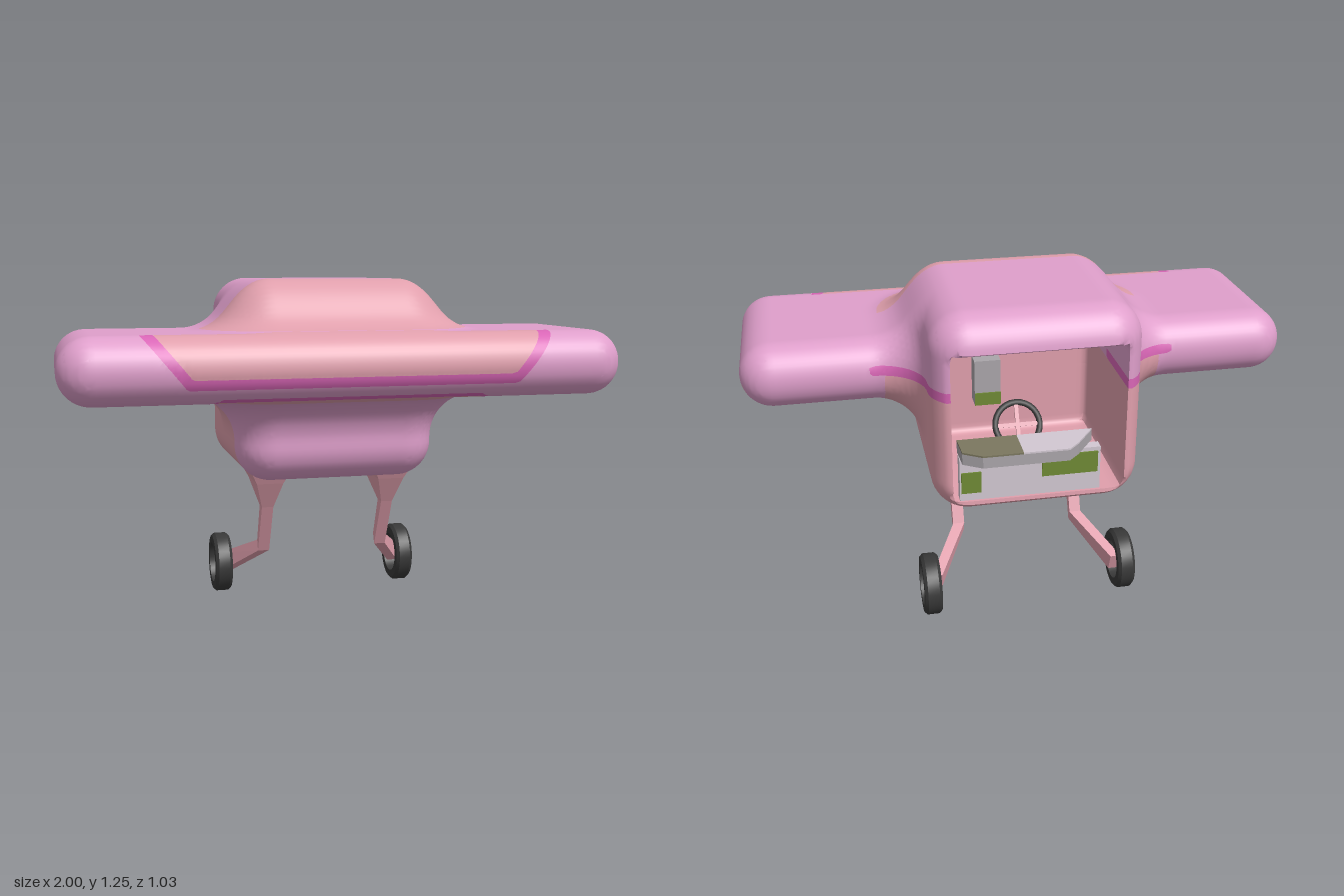
import * as THREE from 'three';
import { toCreasedNormals } from 'three/addons/utils/BufferGeometryUtils.js';

const paint = (name, color, side = THREE.FrontSide) => {
  const m = new THREE.MeshStandardMaterial({ color, side });
  m.name = name;
  return m;
};

// Signed distance to a rounded box given by its two corners
const roundBox = (p, lo, hi, r) => {
  let out = 0, inside = -Infinity;
  for (let i = 0; i < 3; i++) {
    const q = Math.abs(p[i] - (lo[i] + hi[i]) / 2) - (hi[i] - lo[i]) / 2 + r;
    out += Math.max(q, 0) ** 2;
    inside = Math.max(inside, q);
  }
  return Math.sqrt(out) + Math.min(inside, 0) - r;
};

// Cabin and wing joined by a round fillet, hollowed from the rear
const hull = (p) => {
  const a = roundBox(p, [-0.37, 0.522, -0.475], [0.37, 1.256, 0.27], 0.13);
  const b = roundBox(p, [-1, 0.84, -0.175], [1, 1.074, 0.515], 0.115);
  const r = 0.17;
  const joined = Math.max(r, Math.min(a, b)) - Math.hypot(Math.max(r - a, 0), Math.max(r - b, 0));
  return Math.max(joined, -roundBox(p, [-0.305, 0.575, -0.7], [0.305, 1.13, 0.1], 0.02));
};

// Triangles of the zero surface of a distance function, one vertex per grid cell
function surface(f, lo, hi, h) {
  const n = lo.map((v, i) => Math.ceil((hi[i] - v) / h) + 1);
  const step = [1, n[0], n[0] * n[1]];
  const val = new Float32Array(n[0] * n[1] * n[2]);
  const at = (i, j, k) => [lo[0] + i * h, lo[1] + j * h, lo[2] + k * h];
  const each = (fn) => {
    for (let k = 0; k < n[2]; k++) for (let j = 0; j < n[1]; j++) for (let i = 0; i < n[0]; i++)
      fn(i, j, k, i + j * step[1] + k * step[2]);
  };
  each((i, j, k, id) => { val[id] = f(at(i, j, k)); });
  const cells = new Map();
  each((i, j, k, id) => {
    if (i === n[0] - 1 || j === n[1] - 1 || k === n[2] - 1) return;
    const sum = [0, 0, 0];
    let count = 0;
    for (let c = 0; c < 8; c++) for (let a = 0; a < 3; a++) {
      if (c & (1 << a)) continue;
      const o = [c & 1, (c >> 1) & 1, (c >> 2) & 1];
      const s = id + o[0] + o[1] * step[1] + o[2] * step[2];
      const u = val[s], v = val[s + step[a]];
      if ((u < 0) === (v < 0)) continue;
      o[a] += u / (u - v);
      for (let d = 0; d < 3; d++) sum[d] += o[d];
      count++;
    }
    if (!count) return;
    const p = at(i + sum[0] / count, j + sum[1] / count, k + sum[2] / count);
    const e = 0.001, d0 = f(p);
    const g = p.map((_, a) => (f(p.map((v, b) => v + (a === b ? e : 0))) - d0) / e);
    const len = Math.max(Math.hypot(...g), 0.3);
    cells.set(id, p.map((v, a) => v - d0 * g[a] / (len * len)));
  });
  const tris = [];
  each((i, j, k, id) => {
    for (let a = 0; a < 3; a++) {
      if ([i, j, k][a] === n[a] - 1 || (val[id] < 0) === (val[id + step[a]] < 0)) continue;
      const b = step[(a + 1) % 3], c = step[(a + 2) % 3];
      let q = [id, id - b, id - b - c, id - c].map((s) => cells.get(s));
      if (val[id] >= 0) q = q.reverse();
      tris.push([q[0], q[1], q[2]], [q[0], q[2], q[3]]);
    }
  });
  return tris;
}

// Part of a polygon where the sign * field is positive
function clip(poly, field, sign) {
  const out = [];
  poly.forEach((p, i) => {
    const q = poly[(i + 1) % poly.length];
    const a = sign * field(...p), b = sign * field(...q);
    if (a >= 0) out.push(p);
    if ((a >= 0) !== (b >= 0)) out.push(p.map((v, d) => v + (q[d] - v) * a / (a - b)));
  });
  return out;
}

// Colour areas: 1 pink, 2 magenta; everything else is mauve
const band = (lo, v, hi) => Math.min(v - lo, hi - v);
const nose = (x, y) => Math.min(y - 0.93, 0.77 * (0.58 - Math.abs(x) + 0.82 * (y - 0.95)));
const under = (x, z) => Math.min(0.19 + Math.max(0, 0.72 - Math.abs(x)), 0.45) - z;
const areas = [
  [2, (x, y, z) => Math.min(z - 0.4, band(-0.035, nose(x, y), 0))],
  [1, (x, y, z) => Math.min(z - 0.4, nose(x, y))],
  [1, (x, y, z) => Math.min(z - 0.13, y - 1.08, 0.5 - Math.abs(x))],
  [2, (x, y, z) => Math.min(band(0.965, y, 1), -0.165 - z, 0.55 - Math.abs(x))],
  [2, (x, y, z) => Math.min(band(0.83, y, 0.94), band(-0.014, under(x, z), 0.014))],
  [1, (x, y, z) => Math.min(band(0.83, y, 0.935), under(x, z), z + 0.1)],
  [1, (x, y, z) => Math.min(0.965 - y, 0.13 - z, 0.5 - Math.abs(x))],
];

function hullGeometry() {
  const sets = [[], [], []];
  const add = (poly, m) => {
    for (let i = 2; i < poly.length; i++) sets[m].push(...poly[0], ...poly[i - 1], ...poly[i]);
  };
  for (const tri of surface(hull, [-1.044, 0.48, -0.52], [1.044, 1.3, 0.56], 0.018)) {
    let rest = tri;
    for (const [m, field] of areas) {
      if (rest.length < 3) break;
      add(clip(rest, field, 1), m);
      rest = clip(rest, field, -1);
    }
    add(rest, 0);
  }
  const geo = new THREE.BufferGeometry();
  geo.setAttribute('position', new THREE.Float32BufferAttribute(sets.flat(), 3));
  let start = 0;
  sets.forEach((s, m) => { geo.addGroup(start, s.length / 3, m); start += s.length / 3; });
  return toCreasedNormals(geo, 0.8);
}

// Four-sided strut through sections [x, y, z, half width, half depth in y, in z]
function strutGeometry(sections, side) {
  const rings = sections.map(([x, y, z, w, vy, vz]) =>
    [[1, 1], [1, -1], [-1, -1], [-1, 1]].map(([a, b]) => [side * (x + a * w), y + b * vy, z + b * vz]));
  const pos = [];
  const quad = (a, b, c, d) => {
    const q = side > 0 ? [a, b, c, d] : [d, c, b, a];
    pos.push(...q[0], ...q[1], ...q[2], ...q[0], ...q[2], ...q[3]);
  };
  for (let s = 0; s + 1 < rings.length; s++) for (let i = 0; i < 4; i++) {
    const j = (i + 1) % 4;
    quad(rings[s][j], rings[s][i], rings[s + 1][i], rings[s + 1][j]);
  }
  quad(...rings[0].slice().reverse());
  quad(...rings[rings.length - 1]);
  const geo = new THREE.BufferGeometry();
  geo.setAttribute('position', new THREE.Float32BufferAttribute(pos, 3));
  geo.computeVertexNormals();
  return geo;
}

export function createModel() {
  const group = new THREE.Group();
  const mauve = paint('mauve', 0xdf9fcb), pink = paint('pink', 0xe09fac, THREE.DoubleSide);
  const magenta = paint('magenta', 0xd966b6), rubber = paint('rubber', 0x383838);
  const grey = paint('grey', 0xaaa5aa), pale = paint('paleGrey', 0xd2c8d2);
  const green = paint('green', 0x6f8a35), olive = paint('olive', 0x7b775f);
  const add = (name, geo, mat, x = 0, y = 0, z = 0) => {
    const mesh = new THREE.Mesh(geo, mat);
    mesh.name = name;
    mesh.position.set(x, y, z);
    group.add(mesh);
    return mesh;
  };
  const box = (name, mat, w, h, d, x, y, z) => add(name, new THREE.BoxGeometry(w, h, d), mat, x, y, z);

  add('cabinAndWing', hullGeometry(), [mauve, pink, magenta]);

  // Landing gear
  const tire = [[0.078, -0.033], [0.106, -0.033], [0.116, -0.022], [0.116, 0.022], [0.106, 0.033],
    [0.078, 0.033], [0.078, -0.033]].map(([r, y]) => new THREE.Vector2(r, y));
  const tireGeo = toCreasedNormals(new THREE.LatheGeometry(tire, 32), 0.5).rotateZ(Math.PI / 2);
  const leg = [[0.235, 0.57, 0, 0.085, 0, 0.15], [0.235, 0.5, 0.02, 0.05, 0, 0.095],
    [0.235, 0.4, 0.037, 0.022, 0, 0.023], [0.235, 0.23, -0.038, 0.022, -0.02, 0.008],
    [0.35, 0.12, -0.24, 0.02, -0.035, 0.012]];
  for (const side of [1, -1]) {
    add('landingLeg', strutGeometry(leg, side), pink);
    add('wheel', tireGeo, rubber, side * 0.375, side > 0 ? 0.117 : 0.126, side > 0 ? -0.242 : -0.22);
  }

  // Rear shelf, drawn from above as outlines with the rear towards +y
  const slab = (name, mat, pts, y, h) => add(name, new THREE.ExtrudeGeometry(
    new THREE.Shape(pts.map(([a, b]) => new THREE.Vector2(a, b))),
    { depth: h, bevelEnabled: false }).rotateX(-Math.PI / 2), mat, 0, y, 0);
  const right = [[-0.2, 0.38], [-0.13, 0.475], [-0.09, 0.515], [0.07, 0.515], [0.07, 0.38]];
  const left = [[0.07, 0.38], [0.07, 0.515], [0.21, 0.515], [0.275, 0.475], [0.28, 0.38]];
  slab('shelf', grey, [...right.slice(0, 3), ...left.slice(2)], 0.745, 0.04);
  slab('shelfTopRight', pale, right, 0.785, 0.006);
  slab('shelfTopLeft', olive, left, 0.785, 0.006);
  box('rearPanel', pale, 0.5, 0.165, 0.04, 0.03, 0.6625, -0.415);
  box('greenPatchRight', green, 0.2, 0.08, 0.006, -0.11, 0.69, -0.437);
  box('greenPatchLeft', green, 0.07, 0.08, 0.006, 0.24, 0.65, -0.437);

  // Steering wheel and instrument block
  const wheel = add('steeringWheel', new THREE.TorusGeometry(0.08, 0.011, 8, 28), rubber, 0.05, 0.79, -0.3);
  wheel.rotation.x = 0.5;
  for (const turn of [0, Math.PI / 2]) {
    const spoke = box('steeringSpoke', pink, 0.15, 0.014, 0.01, 0.05, 0.79, -0.3);
    spoke.rotation.set(0.5, 0, turn);
  }
  box('instrumentBlock', grey, 0.1, 0.18, 0.08, 0.1, 0.81, 0.07);
  box('instrumentPatch', green, 0.1, 0.05, 0.006, 0.1, 0.745, 0.028);
  return group;
}
